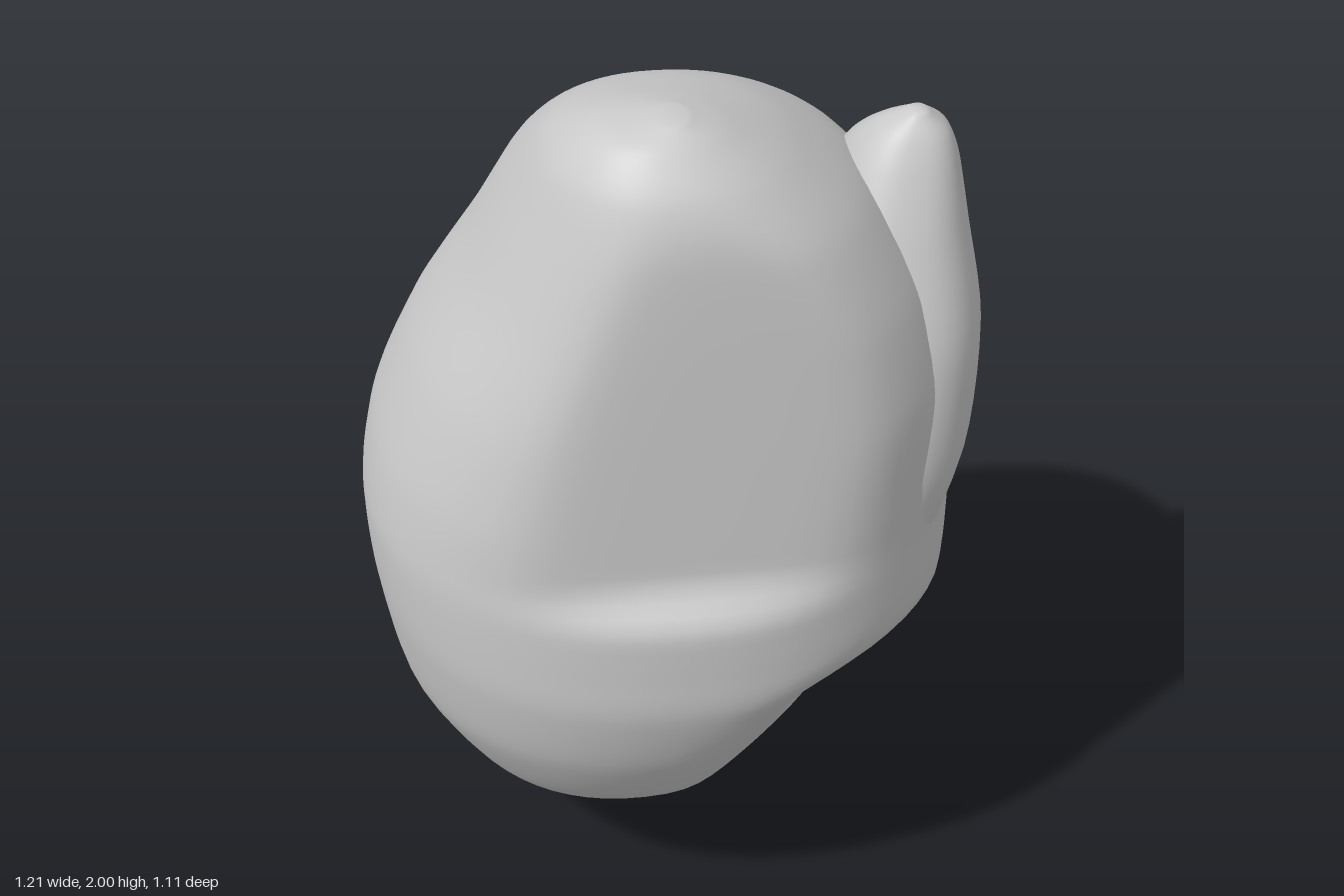
import * as THREE from 'three';

// Smooth loft through rows of [y, xMin, xMax, zMin, zMax], then reshaped by a rule
function loft(rows, rings, segs, power, shape = () => {}) {
  const xs = new THREE.CatmullRomCurve3(rows.map(r => new THREE.Vector3(r[1], r[2], r[0])), false, 'catmullrom', 0.4);
  const zs = new THREE.CatmullRomCurve3(rows.map(r => new THREE.Vector3(r[3], r[4], r[0])), false, 'catmullrom', 0.4);
  const bend = v => Math.sign(v) * Math.abs(v) ** (2 / power);
  const pos = [], index = [], p = new THREE.Vector3();
  for (let i = 0; i <= rings; i++) {
    const a = xs.getPoint(i / rings), b = zs.getPoint(i / rings);
    for (let j = 0; j < segs; j++) {
      const t = j / segs * Math.PI * 2;
      p.set((a.x + a.y) / 2 + (a.y - a.x) / 2 * bend(Math.cos(t)), a.z,
        (b.x + b.y) / 2 + (b.y - b.x) / 2 * bend(Math.sin(t)));
      shape(p);
      pos.push(p.x, p.y, p.z);
      if (i === rings) continue;
      const k = i * segs + j, n = i * segs + (j + 1) % segs;
      index.push(k, k + segs, n, n, k + segs, n + segs);
    }
  }
  // Close both ends with a fan
  for (const [row, ring, flip] of [[rows[0], 0, false], [rows.at(-1), rings, true]]) {
    const c = pos.length / 3;
    pos.push((row[1] + row[2]) / 2, row[0], (row[3] + row[4]) / 2);
    for (let j = 0; j < segs; j++) {
      const k = ring * segs + j, n = ring * segs + (j + 1) % segs;
      index.push(c, flip ? n : k, flip ? k : n);
    }
  }
  const g = new THREE.BufferGeometry();
  g.setAttribute('position', new THREE.Float32BufferAttribute(pos, 3));
  g.setIndex(index);
  g.computeVertexNormals();
  return g;
}

// Presses a point back to a plane, with a softly rounded border
function cut(p, normal, distance, weight = 1) {
  const s = p.dot(normal) - distance;
  p.addScaledVector(normal, -weight * (s + Math.hypot(s, 0.03)) / 2);
}

// Chipped faces of the boulder
const front = new THREE.Vector3(0, 0, 1);
const lowerFront = new THREE.Vector3(0.6, -0.5, 0.62).normalize();
const lowerBack = new THREE.Vector3(0.68, -0.25, -0.68).normalize();
const upperBack = new THREE.Vector3(0.695, 0.172, -0.695).normalize();
const dent = new THREE.Vector3(0.4, 0.56, 0.2);
function chip(p) {
  const step = THREE.MathUtils.smoothstep;
  cut(p, lowerFront, 0.035, 1 - step(p.y, 0.68, 0.92));
  cut(p, lowerBack, 0.285);
  cut(p, upperBack, 0.705);
  cut(p, front, 0.5, step(p.y, 1.0, 1.1));
  // Flat lower back under a ledge
  if (p.z < -0.45) {
    const ledge = 0.88 + 0.06 * p.x;
    p.z = THREE.MathUtils.lerp(-0.45, p.z, step(p.y, ledge - 0.03, ledge + 0.04));
  }
  // Dent low on the left side
  const w = Math.exp(-p.distanceToSquared(dent) / 0.014);
  p.x -= 0.035 * w;
  p.y += 0.03 * w;
  p.z -= 0.015 * w;
}

export function createModel() {
  const group = new THREE.Group();
  group.name = 'boulder';
  const stone = new THREE.MeshStandardMaterial({ color: 0xcccccc });
  const add = (name, geometry) => {
    const mesh = new THREE.Mesh(geometry, stone);
    mesh.name = name;
    group.add(mesh);
  };

  // Main egg-shaped mass, leaning forward towards the top
  add('rockBody', loft([
    [0, -0.13, -0.02, -0.28, -0.20],
    [0.06, -0.22, 0.06, -0.39, -0.07],
    [0.18, -0.36, 0.19, -0.46, 0.09],
    [0.4, -0.46, 0.335, -0.53, 0.34],
    [0.6, -0.55, 0.475, -0.56, 0.475],
    [0.78, -0.585, 0.575, -0.57, 0.54],
    [0.9, -0.6, 0.587, -0.56, 0.55],
    [1.04, -0.605, 0.588, -0.555, 0.555],
    [1.2, -0.575, 0.588, -0.55, 0.565],
    [1.4, -0.495, 0.57, -0.48, 0.57],
    [1.6, -0.385, 0.485, -0.37, 0.56],
    [1.78, -0.3, 0.36, -0.235, 0.525],
    [1.9, -0.235, 0.215, -0.03, 0.47],
    [1.97, -0.155, 0.09, 0.17, 0.41],
    [2, -0.04, 0.01, 0.28, 0.36],
  ], 84, 64, 2.2, chip));

  // Upright spur on the left shoulder, flaring into the body
  add('shoulderSpur', loft([
    [0.9, 0.15, 0.5, -0.08, 0.36],
    [1.2, 0.18, 0.585, -0.13, 0.39],
    [1.46, 0.23, 0.603, -0.16, 0.365],
    [1.67, 0.28, 0.567, -0.08, 0.30],
    [1.8, 0.335, 0.54, 0.02, 0.25],
    [1.86, 0.38, 0.515, 0.09, 0.22],
    [1.9, 0.44, 0.47, 0.15, 0.19],
  ], 30, 40, 2.5));

  return group;
}
